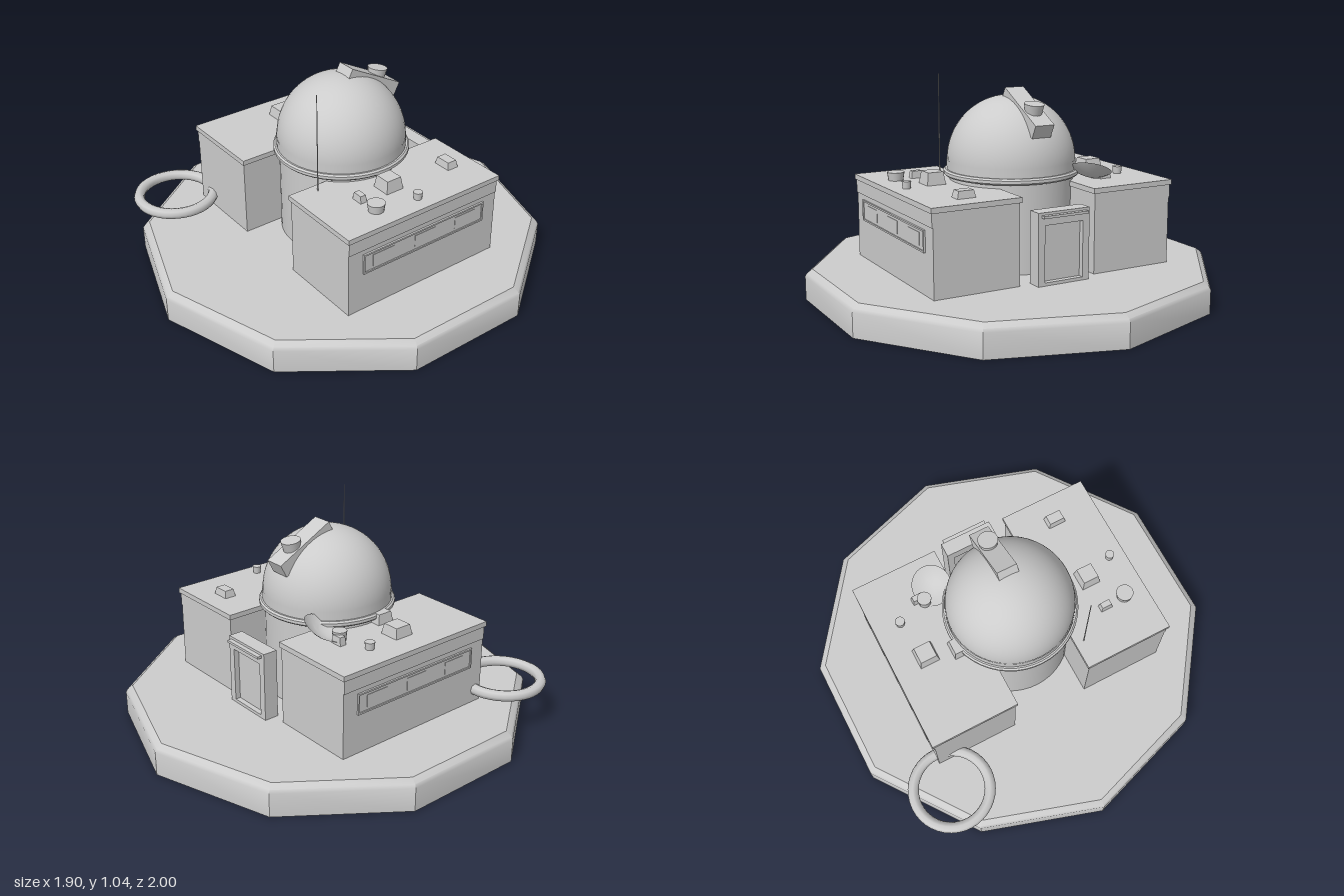
import * as THREE from 'three';
import { toCreasedNormals } from 'three/addons/utils/BufferGeometryUtils.js';

const stone = new THREE.MeshStandardMaterial({ color: 0xcccccc, side: THREE.DoubleSide });
stone.name = 'pale grey';

export function createModel() {
  const model = new THREE.Group();
  model.name = 'observatory';

  function add(name, geometry, x = 0, y = 0, z = 0, parent = model) {
    const mesh = new THREE.Mesh(geometry, stone);
    mesh.name = name;
    mesh.position.set(x, y, z);
    parent.add(mesh);
    return mesh;
  }
  const box = (w, h, d) => new THREE.BoxGeometry(w, h, d);
  const lathe = (points, sides, crease = 0.5) => toCreasedNormals(
    new THREE.LatheGeometry(points.map(([r, y]) => new THREE.Vector2(r, y)), sides), crease);

  // Box whose top is smaller than its foot
  function taperedBox(w, h, d, taper = 0.7) {
    const g = box(w, h, d);
    const p = g.attributes.position;
    for (let i = 0; i < p.count; i++) {
      if (p.getY(i) > 0) p.setXYZ(i, p.getX(i) * taper, p.getY(i), p.getZ(i) * taper);
    }
    return toCreasedNormals(g, 0.3);
  }

  // Ten-sided plinth with a bevelled rim
  add('base', lathe([[0, 0], [1, 0], [1, 0.115], [0.992, 0.13], [0.965, 0.15], [0, 0.15]], 10, 0.55));

  // Drum, flange and dome
  add('drum', new THREE.CylinderGeometry(0.3, 0.3, 0.46, 48), 0, 0.38, 0);
  add('flange', lathe([[0.29, 0.58], [0.32, 0.58], [0.328, 0.588], [0.328, 0.602], [0.32, 0.61], [0.29, 0.61]], 48));
  add('domeCollar', new THREE.CylinderGeometry(0.312, 0.312, 0.05, 48, 1, true), 0, 0.63, 0);
  add('dome', new THREE.SphereGeometry(0.31, 48, 24, 0, Math.PI * 2, 0, Math.PI / 2), 0, 0.652, 0);

  // Sloping shutter and knob on the back of the dome
  add('shutter', box(0.1, 0.07, 0.322), 0, 0.894, -0.156).rotation.x = -0.485;
  add('shutterKnob', new THREE.CylinderGeometry(0.048, 0.036, 0.07, 16), 0, 0.905, -0.212).rotation.x = -0.17;

  // Side wings with roof slab and a long window
  for (const side of [-1, 1]) {
    const wing = new THREE.Group();
    wing.name = side > 0 ? 'leftWing' : 'rightWing';
    model.add(wing);
    add('wingWalls', box(0.426, 0.395, 0.866), side * 0.412, 0.342, 0, wing);
    add('roofSlab', box(0.446, 0.025, 0.88), side * 0.413, 0.5475, 0, wing);
    add('eaveBand', box(0.006, 0.065, 0.866), side * 0.627, 0.503, 0, wing);
    add('windowPane', box(0.004, 0.1, 0.7), side * 0.626, 0.395, 0, wing);
    for (const s of [-1, 1]) {
      add('windowRail', box(0.01, 0.008, 0.708), side * 0.629, 0.395 + s * 0.047, 0, wing);
      add('windowPost', box(0.01, 0.1, 0.008), side * 0.629, 0.395, s * 0.35, wing);
    }
    for (const z of [0.24, 0, -0.24]) {
      add('windowPanel', box(0.004, 0.06, 0.12), side * 0.628, 0.395, z, wing);
    }
  }

  // Rooftop boxes: x, z, width, depth, height
  const roofBoxes = [
    [-0.465, 0.025, 0.1, 0.1, 0.05], [-0.31, 0.065, 0.08, 0.09, 0.05],
    [0.415, -0.31, 0.092, 0.06, 0.035], [0.405, 0.035, 0.095, 0.095, 0.06],
    [0.412, 0.207, 0.06, 0.035, 0.035], [-0.375, -0.245, 0.06, 0.035, 0.04],
  ];
  for (const [x, z, w, d, h] of roofBoxes) {
    add('roofBox', taperedBox(w, h, d, 0.82), x, 0.56 + h / 2, z);
  }

  // Rooftop vents: x, z, radius, height
  const vents = [[-0.503, -0.175, 0.024, 0.035], [-0.35, -0.22, 0.035, 0.05],
    [0.557, -0.01, 0.022, 0.035], [0.52, 0.2, 0.042, 0.04]];
  for (const [x, z, r, h] of vents) {
    add('roofVent', new THREE.CylinderGeometry(r, r * 0.85, h, 16), x, 0.56 + h / 2, z);
  }

  // Tilted receiving dish behind the dome
  const dish = add('dish', lathe([[0, -0.035], [0.035, -0.031], [0.07, -0.018], [0.1, 0]], 24, 1), -0.29, 0.612, -0.262);
  dish.quaternion.setFromUnitVectors(new THREE.Vector3(0, 1, 0), new THREE.Vector3(-0.35, 0.85, 0.3).normalize());

  // Antenna mast
  add('antenna', new THREE.CylinderGeometry(0.002, 0.003, 0.49, 6), 0.235, 0.8, 0.31);

  // Rear doorway: frame with recessed door and a small canopy
  const frame = new THREE.Shape([[-0.135, 0], [0.135, 0], [0.135, 0.34], [-0.135, 0.34]].map(p => new THREE.Vector2(...p)));
  frame.holes.push(new THREE.Path([[-0.1, 0.015], [-0.1, 0.28], [0.1, 0.28], [0.1, 0.015]].map(p => new THREE.Vector2(...p))));
  add('doorFrame', new THREE.ExtrudeGeometry(frame, { depth: 0.073, bevelEnabled: false }), 0, 0.15, -0.486);
  add('door', box(0.2, 0.265, 0.03), 0, 0.2975, -0.445);
  add('doorCanopy', box(0.235, 0.012, 0.05), 0, 0.472, -0.483);

  // Horizontal ring at the front corner of the right wing
  const ring = add('ring', new THREE.TorusGeometry(0.188, 0.027, 8, 40), -0.63, 0.213, 0.585);
  ring.rotation.x = -Math.PI / 2;

  return model;
}
